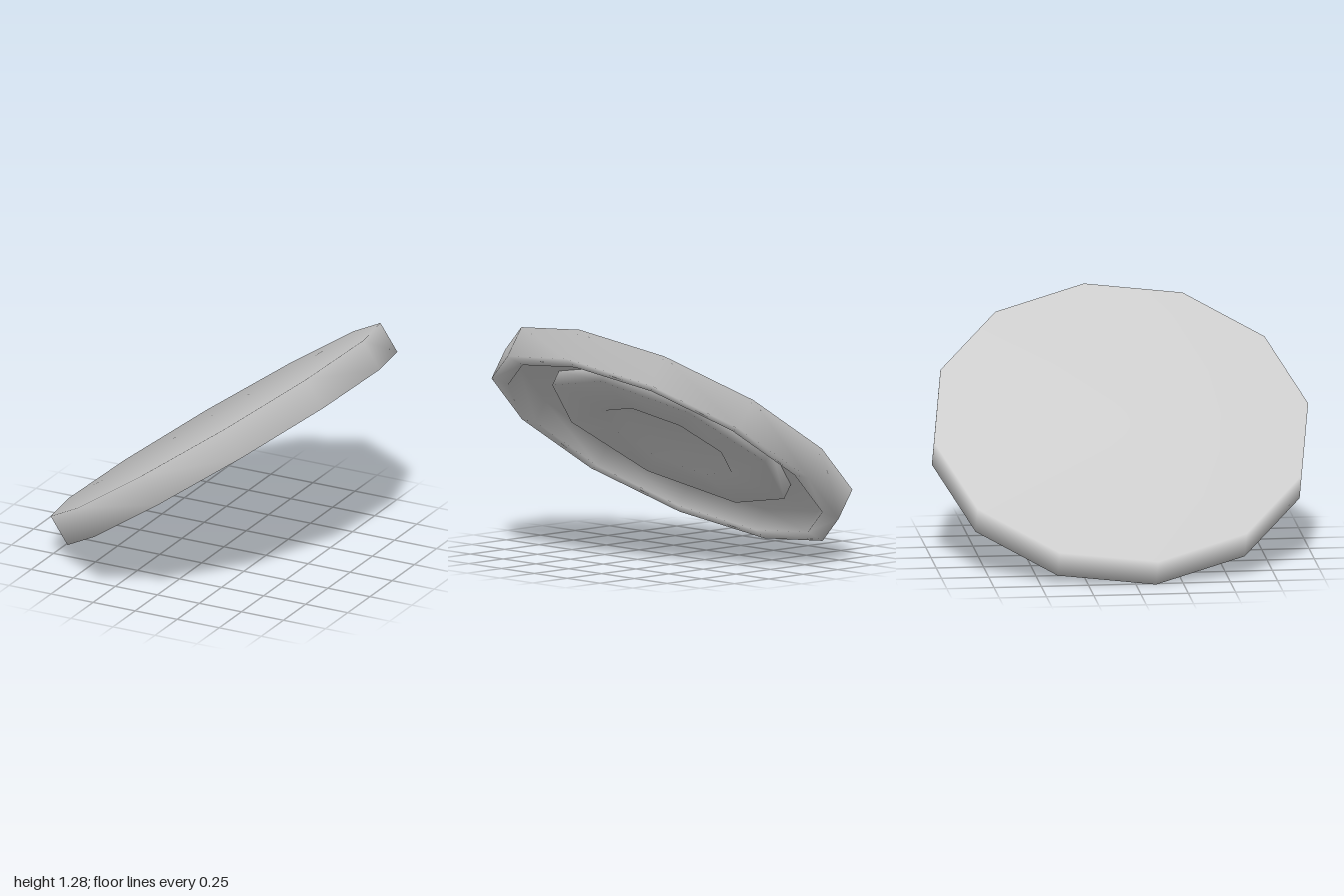
import * as THREE from 'three';

const START = THREE.MathUtils.degToRad(96);
const TILT = THREE.MathUtils.degToRad(34.7);
const FLOOR = 0.125; // height of the recessed floor on the underside

// Smooth-shaded part turned from a [radius, height] profile
function turned(name, profile, sides, material) {
  const points = profile.map(([r, h]) => new THREE.Vector2(r, h));
  const mesh = new THREE.Mesh(new THREE.LatheGeometry(points, sides, START), material);
  mesh.name = name;
  return mesh;
}

export function createModel() {
  const model = new THREE.Group();
  model.name = 'tiltedDisc';
  const grey = new THREE.MeshStandardMaterial({ color: 0xcccccc });

  // Twelve-sided disc: recessed floor, rim lip, outer wall and flat top
  const disc = turned('disc', [
    [0.58, FLOOR], [0.91, FLOOR], [0.91, 0], [1.005, 0], [1.005, 0.176], [0, 0.176],
  ], 12, grey);

  // Eight-sided ring inside the recess, with its own sunken centre
  const ring = turned('innerRing', [
    [0, FLOOR], [0.37, FLOOR], [0.37, 0.043], [0.68, 0.04], [0.68, FLOOR],
  ], 8, grey);

  // Lean the whole disc up towards +x, resting on its lower edge
  const tilted = new THREE.Group();
  tilted.name = 'discAssembly';
  tilted.add(disc, ring);
  tilted.rotation.z = TILT;
  tilted.position.set(0.05, 0.57, 0);
  model.add(tilted);
  return model;
}
